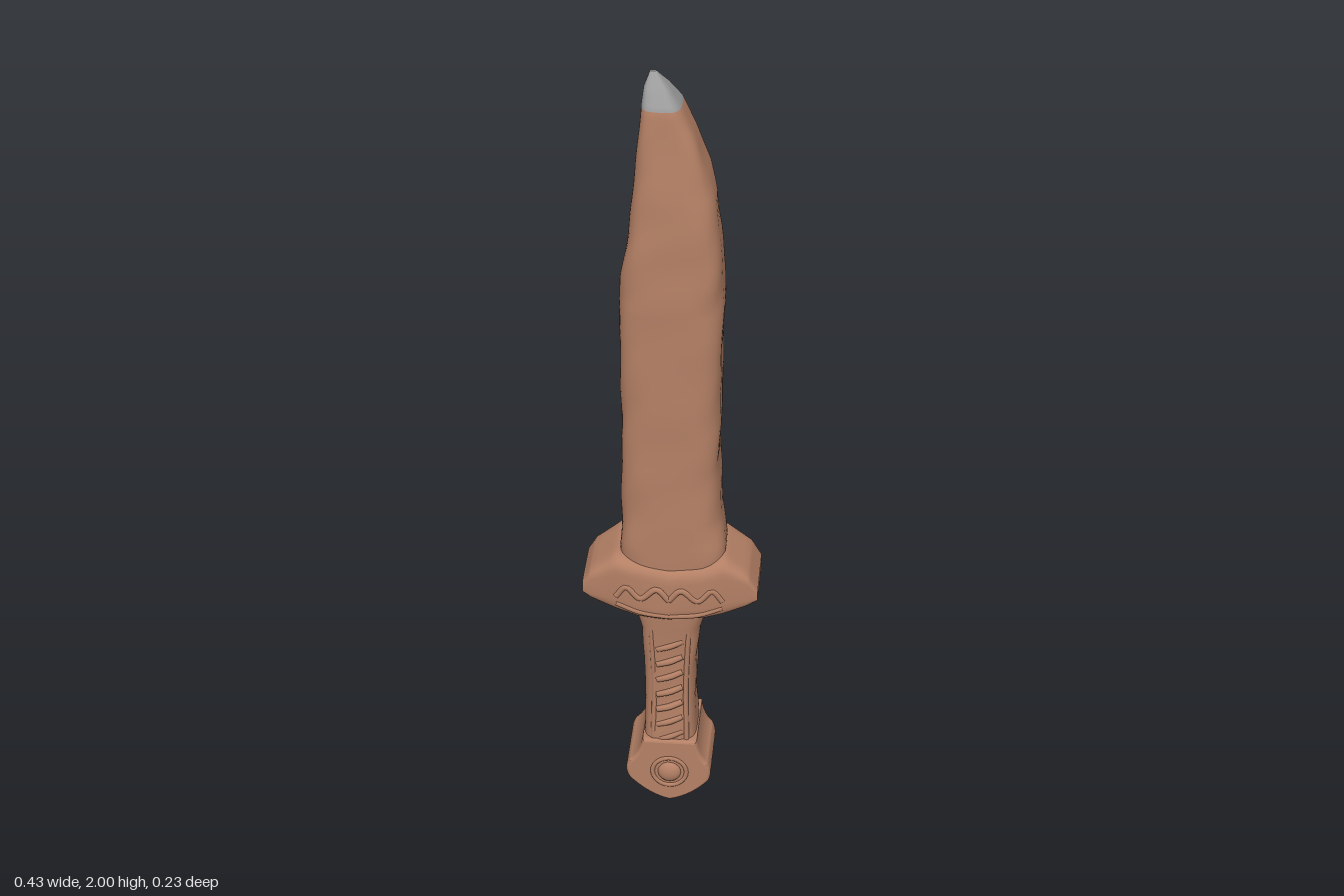
import * as THREE from 'three';

// Rounded-box loft along y. Stations: [y, xLow, xHigh, halfDepth]; power sets how boxy the ring is.
function loft(stations, { power = 4, steps = 4, sides = 48, rough = 0, isTip = () => false } = {}) {
  const rows = [];
  stations.forEach((s, i) => {
    const next = stations[i + 1];
    if (!next) return rows.push(s);
    for (let k = 0; k < steps; k++) rows.push(s.map((v, n) => v + (next[n] - v) * k / steps));
  });
  const pos = [], body = [], tip = [];
  const soft = v => Math.sign(v) * Math.pow(Math.abs(v), 2 / power);
  for (const [y, lo, hi, d] of rows) {
    for (let j = 0; j < sides; j++) {
      const a = j / sides * Math.PI * 2;
      // gentle hand-carved unevenness
      const wave = 1 + rough * (Math.sin(y * 23 + Math.sin(a * 2) * 3) + Math.sin(y * 41 + a * 3)) * 0.5;
      pos.push((lo + hi) / 2 + (hi - lo) / 2 * soft(Math.cos(a)) * wave, y, d * soft(Math.sin(a)) * wave);
    }
  }
  const last = rows.length - 1;
  for (let i = 0; i < last; i++) {
    const list = isTip(rows[i][0]) ? tip : body;
    for (let j = 0; j < sides; j++) {
      const a = i * sides + j, b = i * sides + (j + 1) % sides;
      list.push(a, a + sides, b, b, a + sides, b + sides);
    }
  }
  // end caps with their own vertices
  for (const [row, up] of [[0, false], [last, true]]) {
    const base = pos.length / 3, [y, lo, hi] = rows[row];
    for (let j = 0; j < sides; j++) pos.push(...pos.slice((row * sides + j) * 3, (row * sides + j) * 3 + 3));
    pos.push((lo + hi) / 2, y, 0);
    const list = isTip(y) ? tip : body;
    for (let j = 0; j < sides; j++) {
      const a = base + j, b = base + (j + 1) % sides, c = base + sides;
      if (up) list.push(a, c, b); else list.push(a, b, c);
    }
  }
  const g = new THREE.BufferGeometry();
  g.setAttribute('position', new THREE.Float32BufferAttribute(pos, 3));
  g.setIndex([...body, ...tip]);
  g.addGroup(0, body.length, 0);
  if (tip.length) g.addGroup(body.length, tip.length, 1);
  g.computeVertexNormals();
  return g;
}

export function createModel() {
  const brown = new THREE.MeshStandardMaterial({ color: 0xb48065 });
  brown.name = 'brown';
  const steel = new THREE.MeshStandardMaterial({ color: 0x9c9c9c });
  steel.name = 'steelGrey';
  const model = new THREE.Group();
  model.name = 'dagger';
  const add = (name, geometry, material = brown, parent = model) => {
    const mesh = new THREE.Mesh(geometry, material);
    mesh.name = name;
    parent.add(mesh);
    return mesh;
  };

  // Blade with a bare point
  add('blade', loft([
    [0.66, -0.12, 0.135, 0.09], [0.76, -0.125, 0.135, 0.095], [0.85, -0.122, 0.122, 0.091],
    [1.0, -0.12, 0.115, 0.091], [1.2, -0.12, 0.118, 0.093], [1.42, -0.123, 0.121, 0.093],
    [1.5, -0.117, 0.121, 0.092], [1.6, -0.102, 0.113, 0.089], [1.7, -0.09, 0.1, 0.083],
    [1.77, -0.083, 0.085, 0.074], [1.85, -0.076, 0.057, 0.066], [1.925, -0.069, 0.023, 0.057],
    [1.965, -0.063, -0.005, 0.033], [2.0, -0.05, -0.036, 0.004],
  ], { power: 3.6, rough: 0.02, isTip: y => y >= 1.9249 }), [brown, steel]);

  // Guard, lofted sideways: stations are [x, -top, -bottom, halfDepth]
  const guard = loft([
    [-0.215, -0.665, -0.625, 0.078], [-0.195, -0.7, -0.61, 0.086], [-0.13, -0.75, -0.585, 0.102],
    [-0.08, -0.74, -0.568, 0.105], [0, -0.725, -0.565, 0.11], [0.08, -0.74, -0.568, 0.105],
    [0.13, -0.755, -0.585, 0.102], [0.19, -0.71, -0.61, 0.09], [0.215, -0.665, -0.63, 0.084],
  ], { power: 5, rough: 0.012 });
  guard.rotateZ(-Math.PI / 2);
  add('guard', guard);

  // Grip
  add('grip', loft([
    [0.12, -0.08, 0.075, 0.088], [0.18, -0.068, 0.066, 0.086], [0.3, -0.066, 0.06, 0.08],
    [0.42, -0.068, 0.064, 0.081], [0.52, -0.075, 0.074, 0.085], [0.58, -0.092, 0.092, 0.09],
  ], { power: 4, rough: 0.015 }));

  // Pommel
  const outline = new THREE.Shape();
  outline.moveTo(0, 0.008);
  outline.quadraticCurveTo(0.05, 0.02, 0.092, 0.07);
  outline.quadraticCurveTo(0.102, 0.09, 0.09, 0.118);
  outline.quadraticCurveTo(0.068, 0.14, 0.062, 0.185);
  outline.lineTo(-0.062, 0.185);
  outline.quadraticCurveTo(-0.07, 0.14, -0.096, 0.118);
  outline.quadraticCurveTo(-0.11, 0.095, -0.096, 0.07);
  outline.quadraticCurveTo(-0.05, 0.02, 0, 0.008);
  const pommel = new THREE.ExtrudeGeometry(outline, {
    depth: 0.164, bevelThickness: 0.012, bevelSize: 0.008, bevelSegments: 3, curveSegments: 10,
  });
  pommel.translate(0, 0, -0.082);
  add('pommel', pommel);

  // Carved relief on both faces
  for (const [side, turn] of [['front', 0], ['back', Math.PI]]) {
    const relief = new THREE.Group();
    relief.name = side + 'Relief';
    relief.rotation.y = turn;
    model.add(relief);
    const cord = (name, points, radius) => add(name, new THREE.TubeGeometry(
      new THREE.CatmullRomCurve3(points.map(p => new THREE.Vector3(...p))), 24, radius, 8), brown, relief);

    const button = add('pommelButton', new THREE.SphereGeometry(0.03, 20, 12), brown, relief);
    button.position.set(0, 0.095, 0.092);
    button.scale.z = 0.55;
    const ring = add('pommelRing', new THREE.TorusGeometry(0.043, 0.006, 8, 28), brown, relief);
    ring.position.set(0, 0.095, 0.093);

    // Slanted grip ridges
    for (let i = 0; i < 7; i++) {
      const y = 0.2 + i * 0.047;
      cord('gripRidge', [[-0.032, y - 0.012, 0.077], [0, y, 0.081], [0.032, y + 0.016, 0.077]], 0.009);
    }
    // Mirrored guard scrolls
    for (const s of [-1, 1]) {
      cord('gripBorder', [[s * 0.042, 0.19, 0.078], [s * 0.039, 0.35, 0.073], [s * 0.046, 0.53, 0.078]], 0.007);
      cord('guardScroll', [[0, 0.64, 0.105], [s * 0.03, 0.67, 0.105], [s * 0.07, 0.64, 0.102],
        [s * 0.105, 0.67, 0.099], [s * 0.13, 0.64, 0.096]], 0.009);
      cord('guardEdge', [[0, 0.59, 0.103], [s * 0.07, 0.597, 0.1], [s * 0.13, 0.618, 0.095]], 0.008);
    }
  }
  return model;
}
